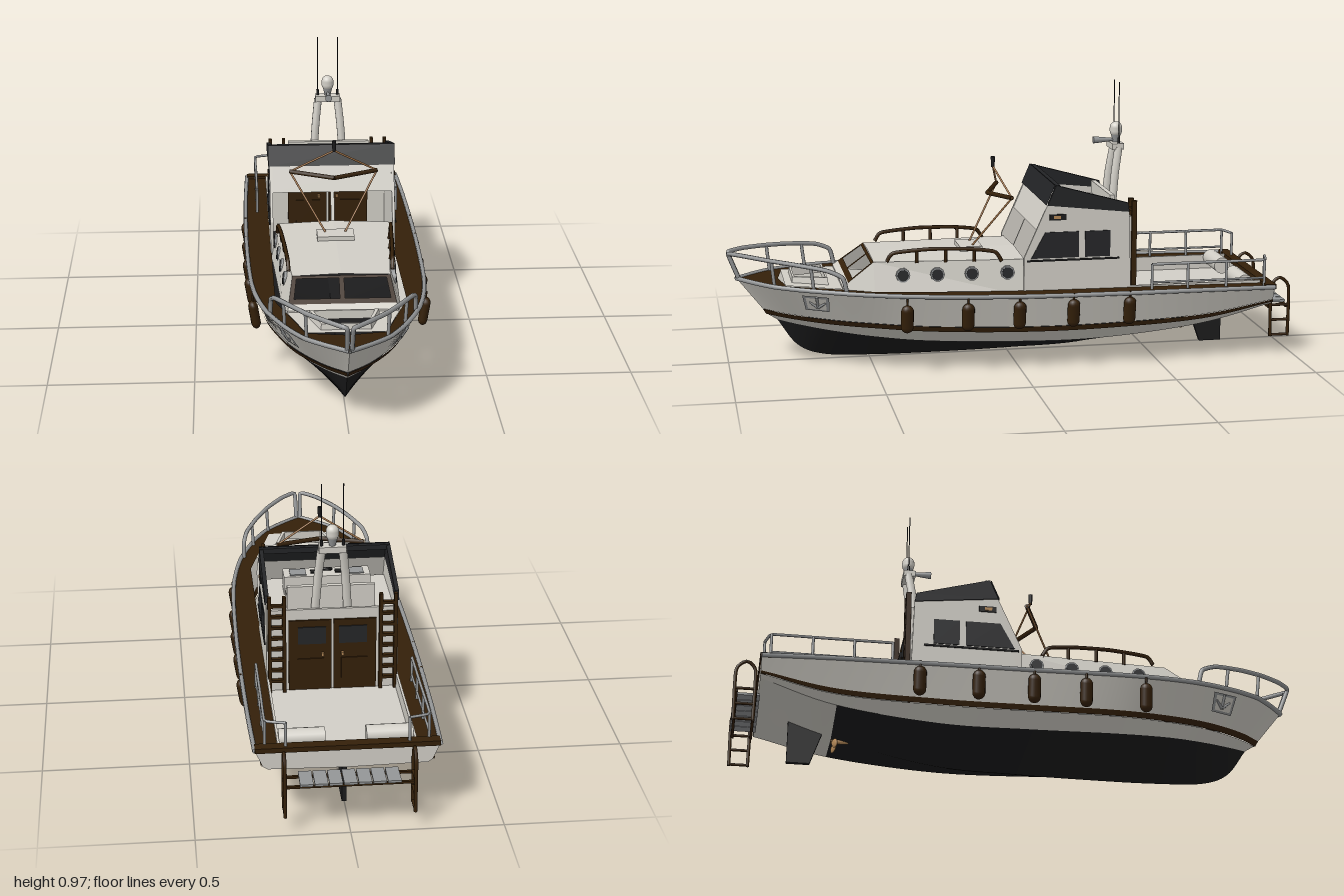
import * as THREE from 'three';

const V = (x, y, z) => new THREE.Vector3(x, y, z);
const paint = (name, color) => {
  const m = new THREE.MeshStandardMaterial({ color, side: THREE.DoubleSide });
  m.name = name;
  return m;
};

export function createModel() {
  const boat = new THREE.Group();
  boat.name = 'motorBoat';
  const white = paint('white', 0xd2cfc7), brown = paint('darkWood', 0x342009), black = paint('bottomBlack', 0x1b1b1c);
  const glass = paint('darkGlass', 0x252628), navy = paint('visorGrey', 0x232426), steel = paint('steel', 0x949697);
  const rope = paint('rope', 0xa8794c), bronze = paint('bronze', 0xb68a58);

  const add = (name, geo, mat, x = 0, y = 0, z = 0) => {
    const m = new THREE.Mesh(geo, mat);
    m.name = name;
    m.position.set(x, y, z);
    boat.add(m);
    return m;
  };
  const box = (name, mat, x0, x1, y0, y1, z0, z1) =>
    add(name, new THREE.BoxGeometry(Math.abs(x1 - x0), y1 - y0, z1 - z0), mat, (x0 + x1) / 2, (y0 + y1) / 2, (z0 + z1) / 2);
  const rod = (name, mat, a, b, r, r2 = r) => {
    const m = add(name, new THREE.CylinderGeometry(r2, r, a.distanceTo(b), 10), mat);
    m.position.copy(a).lerp(b, 0.5);
    m.quaternion.setFromUnitVectors(V(0, 1, 0), b.clone().sub(a).normalize());
    return m;
  };
  const tube = (name, mat, pts, r, tension = 0.3) =>
    add(name, new THREE.TubeGeometry(new THREE.CatmullRomCurve3(pts, false, 'catmullrom', tension), pts.length * 8, r, 7), mat);
  const both = (f) => [1, -1].forEach(f);

  // Surface through rows of points; s = -1 mirrors it to the other side
  const loft = (name, mat, rows, s = 1, flat = false) => {
    const n = rows[0].length, idx = [];
    for (let i = 0; i < rows.length - 1; i++) for (let j = 0; j < n - 1; j++) {
      const a = i * n + j, b = a + 1, c = a + n, d = c + 1;
      idx.push(...(s > 0 ? [a, c, b, b, c, d] : [a, b, c, b, d, c]));
    }
    let g = new THREE.BufferGeometry();
    g.setAttribute('position', new THREE.Float32BufferAttribute(rows.flat().flatMap(p => [p.x * s, p.y, p.z]), 3));
    g.setIndex(idx);
    if (flat) g = g.toNonIndexed();
    g.computeVertexNormals();
    return add(name, g, mat);
  };
  // Thin plate on part of a four-cornered face: corners run bottom left, bottom right, top right, top left
  const patch = (name, mat, q, u0 = 0, u1 = 1, v0 = 0, v1 = 1, lift = 0) => {
    const nrm = q[1].clone().sub(q[0]).cross(q[3].clone().sub(q[0])).normalize().multiplyScalar(lift);
    const at = (u, v) => q[0].clone().lerp(q[1], u).lerp(q[3].clone().lerp(q[2], u), v).add(nrm);
    return loft(name, mat, [[at(u0, v1), at(u1, v1)], [at(u0, v0), at(u1, v0)]], 1, true);
  };
  // Upright plate drawn as (z, y) points, its outer face at x
  const sidePlate = (name, mat, pts, x, depth) => {
    const shape = new THREE.Shape(pts.map(p => new THREE.Vector2(...p)));
    const m = add(name, new THREE.ExtrudeGeometry(shape, { depth, bevelEnabled: false }), mat, x);
    m.rotation.y = -Math.PI / 2;
    return m;
  };

  // Hull lines from stern to bow
  const line = (pts) => new THREE.CatmullRomCurve3(pts.map(p => V(...p)), false, 'catmullrom', 0.5).getPoints(64);
  const keel = line([[0, .19, -.91], [0, .1, -.65], [0, .022, -.3], [0, .008, 0], [0, .004, .3], [0, .006, .5], [0, .016, .66], [0, .055, .755], [0, .15, .825]]);
  const water = line([[.26, .195, -.91], [.235, .125, -.65], [.225, .088, -.3], [.222, .088, 0], [.205, .1, .3], [.165, .115, .5], [.11, .128, .64], [.05, .14, .75], [0, .15, .825]]);
  const belt = line([[.275, .205, -.91], [.265, .152, -.65], [.27, .135, -.3], [.27, .135, 0], [.25, .145, .3], [.205, .155, .5], [.15, .162, .65], [.07, .168, .78], [0, .172, .86]]);
  const sheer = line([[.3, .262, -.91], [.308, .265, -.65], [.312, .267, -.3], [.31, .27, 0], [.3, .279, .3], [.275, .287, .5], [.23, .294, .66], [.14, .3, .84], [0, .305, .965]]);
  const beltTop = belt.map((p, i) => p.clone().lerp(sheer[i], .14));
  const foreHalf = (z) => .197 - (z - .58) * .3;
  const inner = sheer.map(p => V(p.z > .8 ? 0 : Math.min(.222, foreHalf(p.z)), p.y, p.z));
  both(s => {
    loft('bottom', black, [water.slice(8), keel.slice(8)], s);
    loft('sternCounter', white, [water.slice(0, 9), keel.slice(0, 9)], s);
    loft('lowerHull', white, [belt, water], s);
    loft('topside', white, [sheer, beltTop], s);
    loft('woodBelt', brown, [beltTop, belt].map(r => r.map(p => V(p.x + (p.x > 0 ? .004 : 0), p.y, p.z + (p.x > 0 ? 0 : .004)))), s);
    loft('sideDeck', brown, [inner, sheer], s);
    // Foredeck around the open hatch
    const deckRow = (half) => [.59, .657, .658, .715, .772, .773, .803].map(z => V(half(z), .293 + (z - .6) * .04, z));
    const hatchHalf = (z) => z > .6575 && z < .7725 ? .113 - (z - .658) * .3 : 0;
    loft('foredeck', white, [deckRow(hatchHalf), deckRow(foreHalf)], s);
    tube('gunwale', steel, sheer.filter((p, i) => i % 4 === 0).map(p => V(p.x * s, p.y, p.z)), .008);
    // Cockpit side wall
    box('coaming', white, s * .218, s * .226, .21, .272, -.89, -.4);
  });
  loft('transom', white, [keel, water, belt, sheer].map(r => [V(-r[0].x, r[0].y, -.91), V(r[0].x, r[0].y, -.91)]));
  box('transomCap', brown, -.3, .3, .255, .272, -.915, -.878);
  box('cockpitFloor', white, -.222, .222, .21, .22, -.89, -.4);

  // Forward cabin, hollow, with open windows in its sloped front
  const ring = (z, xb, yb, xt, yt, camber) => [V(-xb, yb, z), V(-xt, yt, z), V(0, yt + camber, z), V(xt, yt, z), V(xb, yb, z)];
  loft('cabin', white, [ring(-.025, .222, .25, .202, .378, .008), ring(.5, .2, .27, .165, .38, .006)], 1, true);
  const front = [V(-.184, .3, .61), V(.184, .3, .61), V(.165, .38, .5), V(-.165, .38, .5)];
  patch('frontApron', white, front, 0, 1, 0, .18);
  patch('frontRiser', white, [V(-.186, .285, .61), V(.186, .285, .61), front[1], front[0]]);
  patch('windowSill', brown, front, 0, 1, .18, .33);
  patch('windowHead', brown, front, 0, 1, .92, 1);
  for (const [u0, u1] of [[0, .045], [.475, .525], [.955, 1]]) patch('windowPost', brown, front, u0, u1, .33, .92);
  both(s => {
    loft('cabinCheek', white, [[V(.165, .38, .5), V(.184, .3, .61)], [V(.2, .27, .5), V(.186, .285, .61)]], s, true);
    for (const z of [.4, .28, .16, .035]) {
      const k = (z + .05) / .55, x = THREE.MathUtils.lerp(.211, .18, k);
      rod('portholeRim', steel, V(s * (x - .02), .332, z), V(s * (x + .006), .334, z), .025);
      rod('porthole', glass, V(s * x, .333, z), V(s * (x + .009), .334, z), .02);
    }
    tube('cabinHandrail', brown, [V(.176, .382, .455), V(.178, .412, .43), V(.186, .423, .3), V(.194, .42, .17), V(.2, .408, .08), V(.202, .375, .055)].map(p => V(p.x * s, p.y, p.z)), .007);
    for (const z of [.35, .25, .15]) rod('handrailPost', brown, V(s * (.198 - z * .06), .375, z), V(s * (.203 - z * .058), .42, z), .006);
  });

  // Open foredeck hatch frame and cabin roof hatch
  const hatch = (k, y) => [[-.08, .06], [.08, .06], [.115, -.06], [-.115, -.06], [-.08, .06]].map(([x, z]) => V(x * k, y, .715 + z * k));
  loft('hatchFrame', white, [hatch(1.05, .292), hatch(1, .32), hatch(.88, .32), hatch(.88, .29)], 1, true);
  box('roofHatch', white, -.065, .065, .375, .4, .1, .18);

  // Wheelhouse walls, windows, side lights and dark upper band
  both(s => {
    const x = s > 0 ? .225 : -.215;
    sidePlate('wheelhouseSide', white, [[-.02, .25], [-.02, .385], [-.105, .575], [-.395, .545], [-.405, .22]], x, .01);
    sidePlate('upperBand', navy, [[-.103, .57], [-.133, .64], [-.39, .57], [-.395, .538]], s > 0 ? .229 : -.215, .014);
    const win = (pts) => sidePlate('sideWindow', glass, pts, s > 0 ? .228 : -.222, .006);
    win([[-.045, .383], [-.215, .383], [-.215, .475], [-.095, .475]]);
    win([[-.237, .383], [-.327, .383], [-.327, .475], [-.237, .475]]);
    box('windowTrack', black, s * .223, s * .23, .372, .378, -.36, -.03);
    box('sideLightBoard', black, s * .222, s * .229, .517, .538, -.17, -.11);
    box('sideLight', bronze, s * .224, s * .231, .522, .533, -.15, -.125);
  });
  const screen = [V(-.22, .38, -.022), V(.22, .38, -.022), V(.22, .575, -.106), V(-.22, .575, -.106)];
  patch('screenHeader', white, screen, 0, 1, .52, 1);
  patch('screenPost', white, screen, .485, .515, 0, .52);
  patch('frontVisor', navy, [V(-.228, .57, -.1), V(.228, .57, -.1), V(.228, .64, -.13), V(-.228, .64, -.13)], 0, 1, 0, 1, .002);
  box('visorTop', navy, -.226, .226, .62, .639, -.148, -.132);
  box('rearWall', white, -.216, .216, .22, .52, -.405, -.395);

  // Rear doors and ladders
  both(s => {
    box('rearDoor', brown, s * .004, s * .15, .222, .482, -.412, -.388);
    box('doorWindow', glass, s * .022, s * .118, .395, .458, -.416, -.384);
    box('doorPanel', brown, s * .03, s * .12, .245, .34, -.416, -.384);
    box('doorHandle', bronze, s * .03, s * .038, .35, .362, -.422, -.378);
    for (const x of [.165, .215]) box('ladderRail', brown, s * (x - .006), s * (x + .006), .22, .575, -.424, -.406);
    for (let i = 0; i < 8; i++) box('ladderRung', brown, s * .165, s * .215, .256 + i * .04, .266 + i * .04, -.422, -.406);
  });

  // Flybridge
  box('bridgeFloor', white, -.216, .216, .49, .5, -.4, -.09);
  box('helmConsole', white, -.15, .15, .5, .565, -.23, -.155);
  both(s => {
    box('instrumentPanel', steel, s * .072, s * .128, .565, .569, -.22, -.17);
    box('gauge', black, s * .03, s * .055, .565, .569, -.205, -.18);
  });
  const wheel = add('steeringWheel', new THREE.TorusGeometry(.018, .004, 6, 20), black, 0, .575, -.195);
  wheel.rotation.x = -1;
  box('benchSeat', white, -.15, .15, .5, .54, -.345, -.27);
  box('benchBack', white, -.15, .15, .5, .585, -.36, -.343);

  // Radar mast, dome, horn and aerials
  both(s => {
    tube('mastLeg', white, [V(s * .056, .5, -.372), V(s * .046, .64, -.385), V(s * .036, .735, -.4)], .015);
    rod('aerialBase', black, V(s * .037, .745, -.4), V(s * .037, .77, -.4), .005);
    rod('aerial', black, V(s * .037, .76, -.4), V(s * .037, .97, -.4), .0018);
  });
  box('mastTop', white, -.046, .046, .728, .75, -.418, -.375);
  rod('domeStand', steel, V(0, .745, -.398), V(0, .778, -.398), .01, .018);
  add('radarDome', new THREE.CapsuleGeometry(.022, .012, 8, 18), white, 0, .796, -.398);
  rod('horn', steel, V(0, .759, -.39), V(0, .759, -.315), .005, .013);

  // Spreader bar with ropes and lamp above the cabin
  both(s => {
    rod('spreaderBar', brown, V(0, .58, .07), V(s * .155, .587, .01), .008);
    rod('upperRope', rope, V(s * .155, .587, .01), V(0, .675, .05), .0035);
    rod('lowerRope', rope, V(s * .155, .587, .01), V(s * .035, .4, .13), .0035);
  });
  rod('lamp', black, V(0, .672, .05), V(0, .71, .05), .006, .008);

  // Bow rail, stern rail, fenders, anchors and rafts on both sides
  both(s => {
    const m = (x, y, z) => V(s * x, y, z);
    tube('bowRail', steel, [m(.242, .29, .6), m(.24, .345, .615), m(.225, .37, .67), m(.18, .384, .77), m(.13, .392, .86), m(.07, .398, .94), m(.025, .398, .985), m(.01, .39, .99), m(.008, .3, .955)], .008);
    for (const [x, z, y] of [[.202, .72, .378], [.135, .85, .39]]) rod('bowRailPost', steel, m(x - .004, .295, z - .01), m(x, y, z), .006);
    tube('sternRail', steel, [m(.266, .355, -.47), m(.266, .355, -.7), m(.266, .355, -.88), m(.2, .355, -.9)], .005, .1);
    rod('sternLowerRail', steel, m(.266, .29, -.47), m(.266, .29, -.88), .004);
    for (const [x, z] of [[.266, -.47], [.266, -.6], [.266, -.74], [.266, -.88], [.2, -.9]]) rod('sternRailPost', steel, m(x, .262, z), m(x, .356, z), .005);
    for (const [z, x] of [[.4, .292], [.19, .302], [.01, .306], [-.18, .307], [-.38, .307]]) {
      const f = add('fender', new THREE.CapsuleGeometry(.022, .058, 6, 12), brown, s * x, .203, z);
      f.scale.x = .75;
      f.rotation.z = -s * .16;
      rod('fenderLine', brown, m(x + .004, .24, z), m(x + .006, .275, z), .004);
    }
    // Anchor in its recess, laid on the topside
    const hullAt = (i, v) => { const p = beltTop[i].clone().lerp(sheer[i], v); return m(p.x, p.y, p.z); };
    const pocket = [hullAt(48, .33), hullAt(52, .33), hullAt(52, .85), hullAt(48, .85)];
    patch('anchorPlate', steel, pocket, 0, 1, 0, 1, -s * .006);
    patch('anchorRecess', white, pocket, .12, .88, .12, .88, -s * .008);
    const at = (u, v) => { const p = pocket[0].clone().lerp(pocket[1], u).lerp(pocket[3].clone().lerp(pocket[2], u), v); p.x += s * .011; return p; };
    rod('anchorShank', steel, at(.5, .2), at(.5, .9), .005);
    for (const u of [.18, .82]) rod('anchorFluke', steel, at(.5, .2), at(u, .55), .006, .003);
    const raft = add('raftCanister', new THREE.CylinderGeometry(.03, .03, .152, 18), white, s * .143, .262, -.825);
    raft.rotation.z = Math.PI / 2;
    // Swim ladder
    tube('swimLadder', brown, [m(.21, .06, -.925), m(.21, .24, -.925), m(.21, .275, -.955), m(.21, .24, -.99), m(.21, .06, -.99)], .006);
    for (const y of [.065, .12, .175]) rod('swimLadderRung', brown, m(.21, y, -.925), m(.21, y, -.99), .005);
  });

  // Swim platform of slats
  for (let i = 0; i < 7; i++) box('platformSlat', steel, -.163 + i * .047, -.12 + i * .047, .172, .18, -.995, -.905);
  for (const z of [-.92, -.985]) box('platformBeam', brown, -.21, .21, .164, .172, z - .005, z + .005);

  // Rudder and propeller
  sidePlate('rudder', black, [[-.67, .145], [-.72, 0], [-.8, 0], [-.8, .175]], .008, .016);
  rod('propellerShaft', bronze, V(0, .09, -.59), V(0, .088, -.65), .008);
  for (let i = 0; i < 3; i++) {
    const a = i * Math.PI * 2 / 3, b = add('propellerBlade', new THREE.SphereGeometry(.02, 10, 8), bronze, Math.sin(a) * -.025, .088 + Math.cos(a) * .025, -.638);
    b.scale.set(.8, 1.1, .25);
    b.rotation.set(0, .4, a);
  }
  return boat;
}
